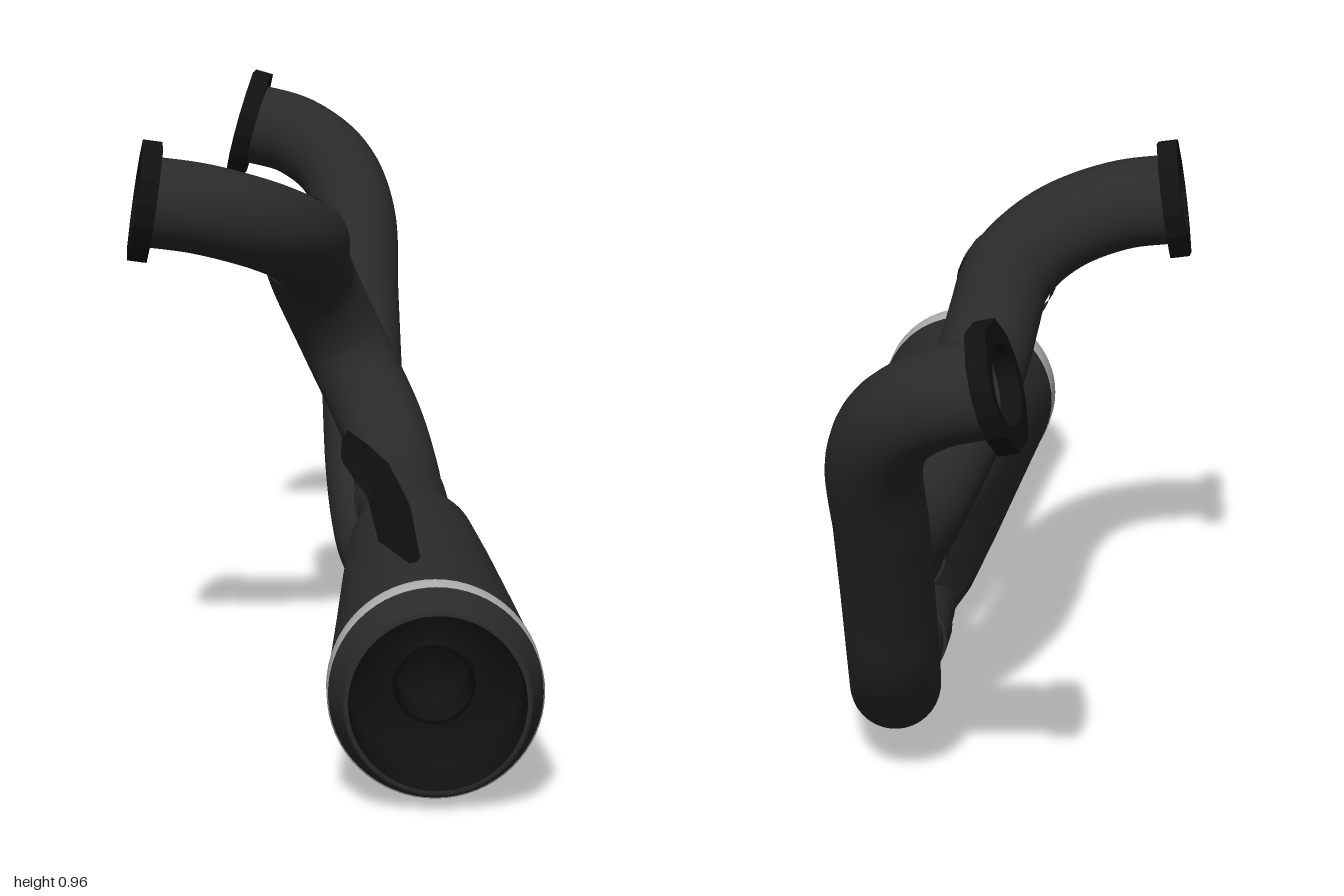
import * as THREE from 'three';

const V = (p) => new THREE.Vector3(...p);
const mat = (color) => new THREE.MeshStandardMaterial({ color, side: THREE.DoubleSide });

export function createModel() {
  const model = new THREE.Group();
  const black = mat(0x2b2b2b), dark = mat(0x111111), silver = mat(0xb4b4b4);
  const add = (name, geometry, material) => {
    const mesh = new THREE.Mesh(geometry, material);
    mesh.name = name;
    model.add(mesh);
    return mesh;
  };
  const tube = (name, points, radius, segments) => {
    const curve = new THREE.CatmullRomCurve3(points.map(V));
    add(name, new THREE.TubeGeometry(curve, segments, radius, 36), black);
    return curve;
  };

  // Header pipes, from the flange end down to the muffler
  const frontPipe = tube('frontHeaderPipe', [
    [-0.31, 0.835, 0.125], [-0.22, 0.822, 0.12], [-0.13, 0.795, 0.088], [-0.07, 0.765, 0.025],
    [-0.038, 0.737, -0.06], [-0.033, 0.712, -0.17], [-0.03, 0.683, -0.28], [-0.012, 0.62, -0.395],
    [0.045, 0.49, -0.458], [0.108, 0.36, -0.4], [0.134, 0.285, -0.27], [0.138, 0.258, -0.14], [0.138, 0.256, 0],
  ], 0.078, 140);
  const rearPipe = tube('rearHeaderPipe', [
    [-0.13, 0.855, -0.925], [-0.04, 0.83, -0.915], [0.035, 0.775, -0.88], [0.073, 0.69, -0.825],
    [0.078, 0.54, -0.733], [0.083, 0.38, -0.637], [0.089, 0.23, -0.545], [0.103, 0.135, -0.435],
    [0.126, 0.097, -0.3], [0.138, 0.092, -0.14], [0.138, 0.092, 0],
  ], 0.077, 140);

  // Slip joint sleeve on the front pipe
  tube('jointSleeve', [[-0.045, 0.744, -0.03], [-0.038, 0.737, -0.06], [-0.036, 0.732, -0.082]], 0.082, 6);

  // Two-eared port flanges facing along each pipe's end
  const outline = [[0.03, 0.1], [-0.03, 0.1], [-0.065, 0.06], [-0.079, 0.02], [-0.079, -0.02], [-0.065, -0.06],
    [-0.03, -0.1], [0.03, -0.1], [0.065, -0.06], [0.079, -0.02], [0.079, 0.02], [0.065, 0.06]];
  [['frontFlange', frontPipe, -0.2], ['rearFlange', rearPipe, 0]].forEach(([name, curve, twist]) => {
    const shape = new THREE.Shape(outline.map(([x, y]) => new THREE.Vector2(x, y)));
    shape.holes.push(new THREE.Path().absarc(0, 0, 0.064, 0, Math.PI * 2, true));
    const geometry = new THREE.ExtrudeGeometry(shape, { depth: 0.034, bevelEnabled: false, curveSegments: 24 });
    geometry.translate(0, 0, -0.016).rotateZ(twist);
    const flange = add(name, geometry, dark);
    const end = curve.getPointAt(0);
    flange.position.copy(end);
    flange.lookAt(end.clone().sub(curve.getTangentAt(0)));
  });

  // Muffler body: round at the outlet, narrowing to an upright oval
  const sections = [ // z, centre x, centre y, half width, half height
    [0.885, 0.155, 0.17, 0.168, 0.168], [0.6, 0.154, 0.171, 0.148, 0.165], [0.35, 0.152, 0.173, 0.13, 0.163],
    [0.14, 0.15, 0.175, 0.112, 0.16], [0.06, 0.145, 0.175, 0.088, 0.154], [0, 0.14, 0.175, 0.07, 0.14],
    [-0.07, 0.138, 0.175, 0.045, 0.11], [-0.12, 0.138, 0.175, 0.002, 0.05],
  ];
  const N = 64, positions = [], index = [];
  sections.forEach(([z, cx, cy, hw, hh], i) => {
    for (let j = 0; j < N; j++) {
      const a = (j / N) * Math.PI * 2, s = Math.sin(a);
      const side = Math.sign(Math.round(s * 1e6));
      positions.push(cx + hw * Math.cos(a), cy + hw * s + side * (hh - hw), z);
      if (i < sections.length - 1) {
        const k = (j + 1) % N, p = i * N, q = p + N;
        index.push(p + j, q + j, p + k, p + k, q + j, q + k);
      }
    }
  });
  const body = new THREE.BufferGeometry();
  body.setAttribute('position', new THREE.Float32BufferAttribute(positions, 3));
  body.setIndex(index);
  body.computeVertexNormals();
  add('mufflerBody', body, black);

  // Inlet sockets blending into the body
  [['upperInletSocket', 0.257], ['lowerInletSocket', 0.093]].forEach(([name, y]) => {
    const collar = new THREE.CylinderGeometry(0.083, 0.083, 0.07, 36).rotateX(Math.PI / 2);
    add(name + 'Collar', collar, black).position.set(0.138, y, -0.113);
    const sleeve = new THREE.CylinderGeometry(0.07, 0.082, 0.28, 36).rotateX(Math.PI / 2);
    add(name, sleeve, black).position.set(0.14, y, 0.06);
  });

  // Turned outlet parts, profiles given as radius and z
  const turned = (name, profile, material) => {
    const geometry = new THREE.LatheGeometry(profile.map(([r, z]) => new THREE.Vector2(r, z)), 64);
    add(name, geometry.rotateX(Math.PI / 2), material).position.set(0.155, 0.17, 0);
  };
  turned('outletBand', [[0.166, 0.88], [0.1695, 0.88], [0.1695, 0.928], [0.166, 0.928]], silver);
  turned('endCap', [[0.168, 0.926], [0.165, 0.938], [0.147, 0.997], [0.144, 1], [0.138, 1]], black);
  turned('outletBore', [[0.138, 1], [0.136, 0.97], [0.136, 0.84], [0.065, 0.84]], dark);
  turned('innerOutletPipe', [[0.058, 0.78], [0.058, 0.87], [0.065, 0.87], [0.065, 0.78], [0, 0.78]], dark);

  // Tilted mounting bracket; outline is across the plate, then along z
  const plate = new THREE.Shape([[0, 0.735], [0, 0.33], [0.01, 0.24], [0.035, 0.05], [0.085, 0.015], [0.122, 0.015],
    [0.13, 0.21], [0.125, 0.27], [0.08, 0.42], [0.07, 0.735]].map(([w, z]) => new THREE.Vector2(w, z)));
  plate.holes.push(new THREE.Path().absarc(0.078, 0.075, 0.014, 0, Math.PI * 2, true));
  const bracket = new THREE.ExtrudeGeometry(plate, { depth: 0.018, bevelEnabled: false });
  bracket.applyMatrix4(new THREE.Matrix4()
    .makeBasis(V([-0.8, 0.6, 0]), V([0, 0, 1]), V([0.6, 0.8, 0]))
    .setPosition(0.127, 0.328, 0));
  add('mountingBracket', bracket, dark);

  return model;
}
